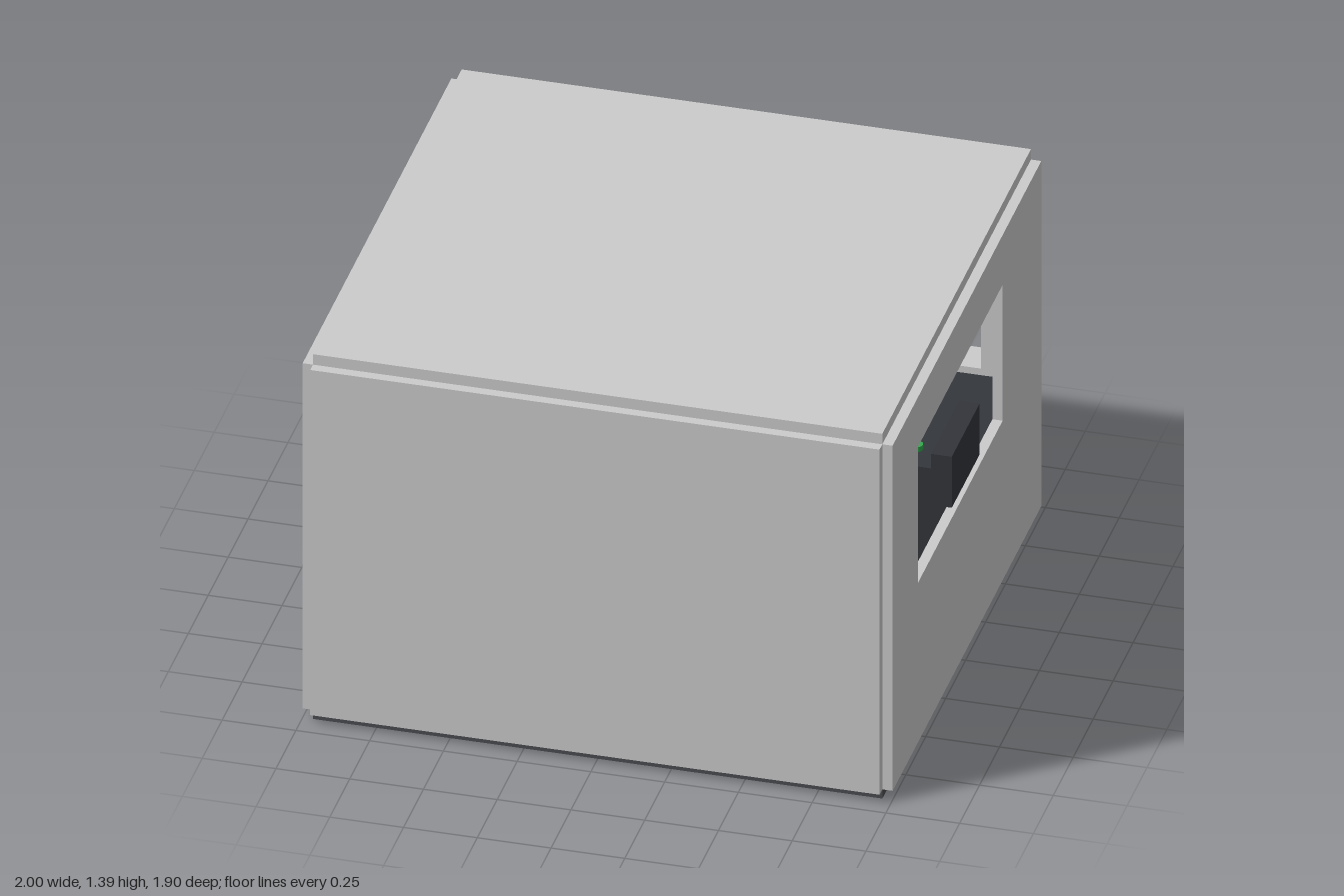
import * as THREE from 'three';

const mat = (color) => new THREE.MeshStandardMaterial({ color });
const GREY = mat(0xcccccc), FLOOR = mat(0x4a4c50), DARK = mat(0x32353a), BLACK = mat(0x1e1f22);
const BLUE = mat(0x2a4470), SCREEN = mat(0x14281c), STEEL = mat(0xb0b4b8);

export function createModel() {
  const cab = new THREE.Group();
  cab.name = 'driverCab';

  const add = (name, geometry, material, parent = cab) => {
    const mesh = new THREE.Mesh(geometry, material);
    mesh.name = name;
    parent.add(mesh);
    return mesh;
  };
  // Box given by its minimum and maximum on each axis
  const box = (name, [x0, x1], [y0, y1], [z0, z1], material, parent) => {
    const mesh = add(name, new THREE.BoxGeometry(x1 - x0, y1 - y0, z1 - z0), material, parent);
    mesh.position.set((x0 + x1) / 2, (y0 + y1) / 2, (z0 + z1) / 2);
    return mesh;
  };
  const rect = (PathType, u0, u1, v0, v1) => new PathType().setFromPoints(
    [[u0, v0], [u1, v0], [u1, v1], [u0, v1]].map(([u, v]) => new THREE.Vector2(u, v)));
  // Wall panel with one rectangular window, extruded along z
  const wallWithWindow = (outer, hole, depth) => {
    const shape = rect(THREE.Shape, ...outer);
    shape.holes.push(rect(THREE.Path, ...hole));
    return new THREE.ExtrudeGeometry(shape, { depth, bevelEnabled: false });
  };

  // Shell
  box('floor', [-0.965, 0.965], [0, 0.035], [-0.95, 0.915], FLOOR);
  box('roof', [-0.965, 0.965], [1.355, 1.395], [-0.95, 0.915], GREY);
  box('closedWall', [-0.965, 0.965], [0.035, 1.355], [0.915, 0.95], GREY);
  add('windscreenWall', wallWithWindow([-0.965, 0.965, 0.035, 1.355], [-0.83, 0.83, 0.61, 1.21], 0.13), GREY)
    .position.z = -0.95;

  // Side walls with windows, and a box on each sill
  for (const [side, s] of [['left', 1], ['right', -1]]) {
    const wall = wallWithWindow([-0.915, 0.95, 0.035, 1.355], [-0.6, 0.465, 0.645, 1.165], 0.035);
    wall.rotateY(Math.PI / 2);
    add(side + 'SideWall', wall, GREY).position.x = s > 0 ? 0.965 : -1;
    const sill = box(side + 'SillBox', [-0.035, 0.035], [0.645, 0.84], [-0.24, 0.11], DARK);
    sill.position.x = s * 0.948;
  }

  // Door inside the closed wall
  box('door', [-0.3, 0.3], [0.035, 1.16], [0.9, 0.92], DARK);

  // Driving desk with a sloping top
  const zNear = -0.32, zFar = -0.82, yNear = 0.515, yFar = 0.585;
  const section = new THREE.Shape([[-zNear, 0.035], [-zFar, 0.035], [-zFar, yFar], [-zNear, yNear]]
    .map(([u, v]) => new THREE.Vector2(u, v)));
  const deskGeometry = new THREE.ExtrudeGeometry(section, { depth: 1.93, bevelEnabled: false });
  deskGeometry.rotateY(Math.PI / 2);
  add('desk', deskGeometry, DARK).position.x = -0.965;

  // Everything on the desk lies in the plane of its top
  const top = new THREE.Group();
  top.name = 'deskControls';
  top.position.set(0, yNear, zNear);
  top.rotation.x = Math.atan2(yFar - yNear, zNear - zFar);
  cab.add(top);
  for (const x of [0.43, 0.02]) {
    box('screen', [x - 0.18, x + 0.18], [-0.005, 0.008], [-0.31, -0.13], SCREEN, top);
  }
  [0x2fa84a, 0xc8322c, 0xe0b020, 0xe0b020].forEach((color, i) => {
    add('button', new THREE.CylinderGeometry(0.016, 0.016, 0.02, 16), mat(color), top)
      .position.set(0.73 - i * 0.083, 0.01, -0.09);
  });
  box('leverBase', [-0.44, -0.16], [-0.005, 0.015], [-0.24, -0.06], FLOOR, top);
  box('leverSlot', [-0.34, -0.31], [0.01, 0.02], [-0.22, -0.08], STEEL, top);
  box('deskStrip', [-0.55, -0.11], [-0.005, 0.02], [-0.4, -0.34], BLACK, top);

  // Control lever
  add('leverStalk', new THREE.CylinderGeometry(0.012, 0.012, 0.17, 16), STEEL).position.set(-0.32, 0.62, -0.485);
  box('leverHandle', [-0.37, -0.27], [0.695, 0.73], [-0.51, -0.46], BLACK);

  // Seat
  box('seatBack', [-0.2, 0.2], [0.38, 0.775], [0.23, 0.295], BLUE);
  box('seatCushion', [-0.2, 0.2], [0.35, 0.42], [-0.1, 0.295], BLUE);
  add('seatPedestal', new THREE.CylinderGeometry(0.05, 0.05, 0.32, 20), BLACK).position.set(0, 0.19, 0.1);

  // Overhead panel and rolled blind above the windscreen
  box('overheadPanel', [-0.78, 0.78], [1.28, 1.355], [-0.6, -0.45], BLACK);
  const blind = add('rolledBlind', new THREE.CylinderGeometry(0.02, 0.02, 1.7, 16), BLACK);
  blind.rotation.z = Math.PI / 2;
  blind.position.set(0, 1.18, -0.8);

  return cab;
}
